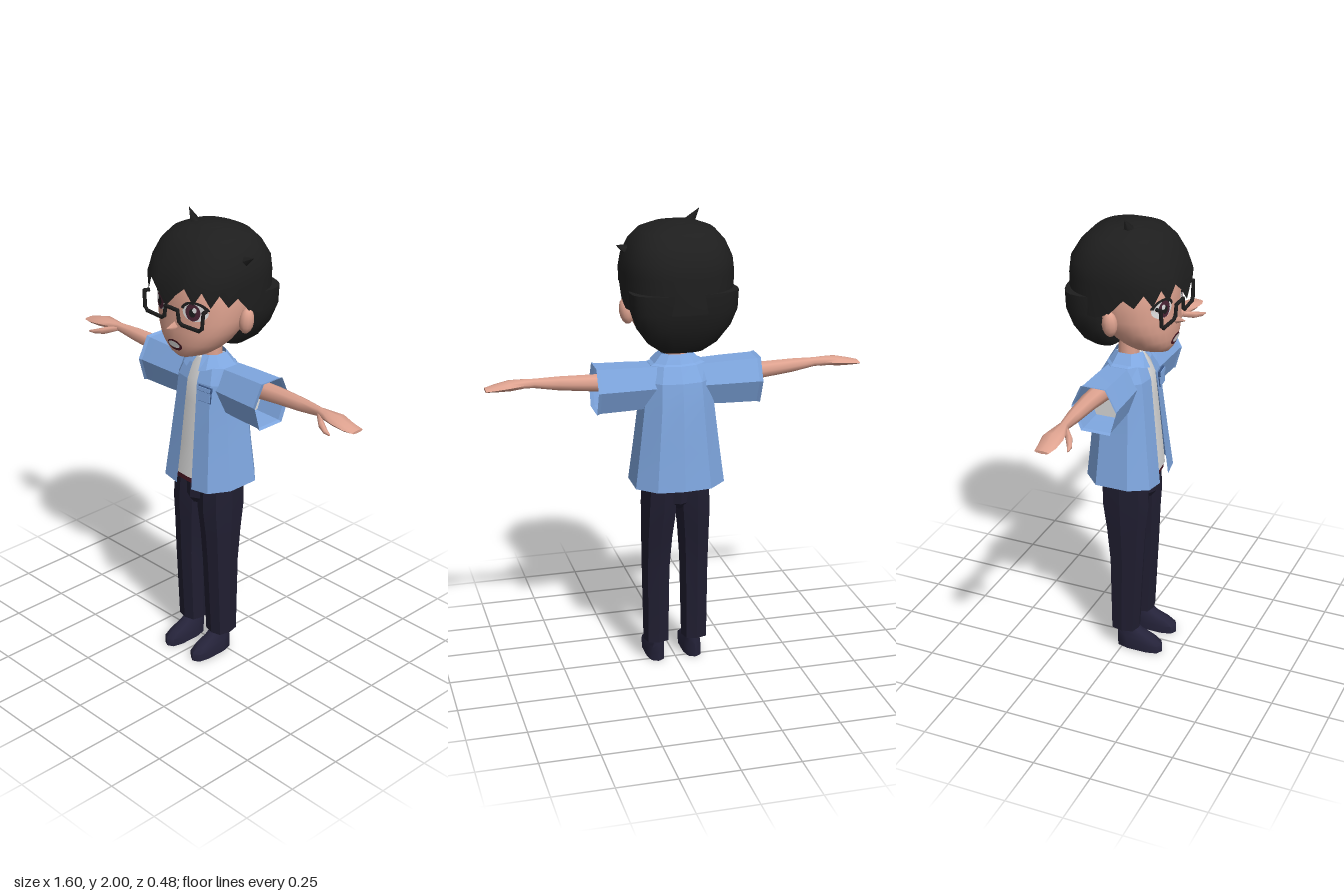
import * as THREE from 'three';
import { toCreasedNormals } from 'three/addons/utils/BufferGeometryUtils.js';

const mat = (name, color, side = THREE.FrontSide) => {
  const m = new THREE.MeshStandardMaterial({ color, side });
  m.name = name;
  return m;
};
const V = (x, y, z) => new THREE.Vector3(x, y, z);

// Rounded-square ring in the xz plane, starting at the front and turning to +x
const spow = (v, e) => Math.sign(v) * Math.pow(Math.abs(v), e);
function ring(y, x0, x1, z0, z1, n, p) {
  return Array.from({ length: n }, (_, j) => {
    const a = (j / n) * Math.PI * 2;
    return [(x0 + x1) / 2 + (x1 - x0) / 2 * spow(Math.sin(a), 2 / p), y,
      (z0 + z1) / 2 + (z1 - z0) / 2 * spow(Math.cos(a), 2 / p)];
  });
}
// Elliptic ring in the yz plane, for limbs along x
const limbRing = ([x, y, z, ry, rz], n = 8) => Array.from({ length: n }, (_, j) => {
  const a = (j / n) * Math.PI * 2;
  return [x, y + ry * Math.cos(a), z + rz * Math.sin(a)];
});

// Skin over a list of rings
function loft(rings, { crease = 0.9, closed = true, caps = true } = {}) {
  const n = rings[0].length, pos = rings.flat(2), idx = [];
  const m = closed ? n : n - 1;
  for (let i = 0; i < rings.length - 1; i++) {
    for (let j = 0; j < m; j++) {
      const k = (j + 1) % n, a = i * n + j, b = i * n + k;
      idx.push(a, b, b + n, a, b + n, a + n);
    }
  }
  if (closed && caps) {
    [0, rings.length - 1].forEach((r) => {
      const c = pos.length / 3;
      for (let k = 0; k < 3; k++) pos.push(rings[r].reduce((s, q) => s + q[k], 0) / n);
      for (let j = 0; j < n; j++) {
        const a = r * n + j, b = r * n + (j + 1) % n;
        if (r === 0) idx.push(c, b, a); else idx.push(c, a, b);
      }
    });
  }
  const g = new THREE.BufferGeometry();
  g.setAttribute('position', new THREE.Float32BufferAttribute(pos, 3));
  g.setIndex(idx);
  return toCreasedNormals(g, crease);
}

// Head profile: height, half width, front z, back z
const HEAD = [[1.43, .045, .165, .03], [1.445, .085, .177, 0], [1.47, .12, .186, -.03], [1.5, .15, .192, -.06],
  [1.55, .18, .193, -.1], [1.6, .196, .19, -.13], [1.66, .2, .19, -.15], [1.74, .2, .185, -.16],
  [1.82, .17, .15, -.14], [1.88, .1, .08, -.08]];
const HEAD_P = 2.3;
function faceZ(x, y) {
  let i = 0;
  while (i < HEAD.length - 2 && HEAD[i + 1][0] < y) i++;
  const A = HEAD[i], B = HEAD[i + 1], t = (y - A[0]) / (B[0] - A[0]);
  const [w, f, b] = [1, 2, 3].map((k) => A[k] + (B[k] - A[k]) * t);
  const u = Math.max(0, 1 - Math.pow(Math.abs(x) / w, HEAD_P));
  return (f + b) / 2 + (f - b) / 2 * Math.pow(u, 1 / HEAD_P);
}

export function createModel() {
  const D = THREE.DoubleSide;
  const skin = mat('skin', 0xdfa390), shirt = mat('blue shirt', 0x7fa7e0, D), trim = mat('dark blue trim', 0x3c5888);
  const white = mat('white', 0xdcdcdc, D), trousers = mat('navy trousers', 0x201e31), shoe = mat('shoe', 0x25233a);
  const belt = mat('dark red', 0x4c1a26), black = mat('black hair', 0x1e1e1e, D), iris = mat('iris', 0x4a2434);
  const root = new THREE.Group();
  const add = (name, geo, material, parent = root) => {
    const m = new THREE.Mesh(geo, material);
    m.name = name;
    parent.add(m);
    return m;
  };
  // Parts that exist on both sides
  const sides = [1, -1].map((s) => {
    const g = new THREE.Group();
    g.name = s > 0 ? 'leftSide' : 'rightSide';
    g.scale.x = s;
    root.add(g);
    return g;
  });
  const both = (name, geo, material) => sides.forEach((g) => add(name, geo, material, g));

  // Shoes and trousers
  both('shoe', loft([[0, .043, .124, -.033, .18], [.035, .042, .125, -.033, .18], [.06, .045, .12, -.033, .145],
    [.085, .05, .113, -.033, .085], [.115, .054, .11, -.03, .05]].map((r) => ring(...r, 10, 2.8))), shoe);
  both('trouserLeg', loft([[.1, .03, .142, -.052, .07], [.45, .025, .145, -.06, .088], [.6, .015, .146, -.078, .096],
    [.72, .002, .146, -.1, .107], [.85, 0, .14, -.105, .1]].map((r) => ring(...r, 8, 3)), { crease: .3 }), trousers);
  add('hips', loft([[.73, -.035, .035, -.07, .09], [.76, -.055, .055, -.1, .112], [.85, -.06, .06, -.105, .112]]
    .map((r) => ring(...r, 8, 3)), { crease: .3 }), trousers);
  add('belt', loft([.835, .87].map((y) => ring(y, -.148, .148, -.112, .118, 16, 3))), belt);

  // Undershirt and neck
  add('undershirt', loft([[.862, .15, .125, -.125], [1, .14, .112, -.12], [1.2, .12, .094, -.115],
    [1.3, .11, .083, -.1], [1.385, .055, .045, -.06]].map(([y, w, f, b]) => ring(y, -w, w, b, f, 16, 3))), white);
  const neck = add('neck', new THREE.CylinderGeometry(.042, .046, .16, 10), skin);
  neck.position.set(0, 1.41, -.015);

  // Open-fronted shirt body: y, half opening, half width, front z, back z
  const openRing = ([y, o, w, f, b, drop = 0]) => {
    const half = [[o, f, drop], [.68 * w, f - .012, drop * .6], [w, f * .4, 0], [w, b * .5, 0], [.6 * w, b + .012, 0]];
    return [...half.map(([x, z, d]) => [x, y - d, z]), [0, y, b],
      ...half.reverse().map(([x, z, d]) => [-x, y - d, z])];
  };
  add('shirtBody', loft([[.842, .045, .192, .147, -.17, .015], [1, .038, .172, .128, -.157], [1.2, .032, .148, .107, -.145],
    [1.3, .028, .14, .096, -.13], [1.365, .025, .115, .07, -.095], [1.39, .02, .055, .05, -.06]].map(openRing),
  { crease: .12, closed: false }), shirt);
  add('collar', loft([[1.372, .035, .1, .095, -.09, .02], [1.41, .018, .066, .055, -.068]].map(openRing),
    { crease: .2, closed: false }), shirt);

  // Sleeves: six-sided tubes with a slight flare at the cuff
  const hex = [[.095, -.055], [.095, .045], [.005, .092], [-.093, .065], [-.093, -.055], [.005, -.095]];
  const sleeveRing = ([x, k]) => hex.map(([y, z]) => [x, 1.275 + y * k, -.015 + z * k]);
  both('sleeve', loft([[.09, .92], [.2, .97], [.335, 1], [.35, 1.05]].map(sleeveRing), { crease: .12, caps: false }), shirt);
  both('undershirtSleeve', loft([[.1, .85], [.22, .9]].map(sleeveRing), { crease: .2 }), white);

  // Chest pocket with a flap
  const pocket = new THREE.Group();
  pocket.name = 'pocket';
  pocket.position.set(.078, 1.26, .096);
  pocket.rotation.set(-.11, .12, 0);
  root.add(pocket);
  [['pocketEdge', .066, .064, 0, .004, trim], ['pocketPanel', .06, .058, 0, .008, shirt],
    ['flapEdge', .07, .022, .025, .01, trim], ['flapPanel', .064, .016, .025, .014, shirt]]
    .forEach(([n, w, h, y, d, m]) => add(n, new THREE.BoxGeometry(w, h, d), m, pocket).position.set(0, y, d / 2));

  // Arms, hands and thumbs
  both('arm', loft([[.15, 1.3, -.03, .045, .045], [.35, 1.308, -.04, .037, .036], [.5, 1.316, -.034, .03, .027],
    [.6, 1.322, -.028, .02, .018], [.64, 1.323, -.025, .019, .03], [.7, 1.32, -.026, .02, .044],
    [.76, 1.312, -.022, .013, .038], [.8, 1.308, -.025, .006, .03]].map((r) => limbRing(r)), { crease: 1.2 }), skin);
  both('thumb', loft([[.6, 1.318, -.02, .012, .012], [.65, 1.302, .018, .016, .016], [.69, 1.292, .038, .011, .012],
    [.72, 1.288, .046, .004, .004]].map((r) => limbRing(r, 6)), { crease: 1.2 }), skin);

  // Head, nose and ears
  add('head', loft(HEAD.map(([y, w, f, b]) => ring(y, -w, w, b, f, 28, HEAD_P)), { crease: 1.2 }), skin);
  const nose = add('nose', new THREE.ConeGeometry(.03, .07, 4), skin);
  nose.rotation.x = Math.PI / 2;
  nose.position.set(0, 1.568, .2);
  const earGeo = new THREE.SphereGeometry(1, 12, 8).scale(.03, .056, .032).rotateZ(-.15).translate(.208, 1.595, -.008);
  both('ear', earGeo, skin);

  // Painted face details wrapped on the face
  const wrap = (geo, x, y, sx, sy, lift) => {
    geo.scale(sx, sy, 1).translate(x, y, 0);
    const p = geo.attributes.position;
    for (let i = 0; i < p.count; i++) p.setZ(i, faceZ(p.getX(i), p.getY(i)) + lift);
    geo.computeVertexNormals();
    return geo;
  };
  const disc = (...a) => wrap(new THREE.CircleGeometry(1, 20), ...a);
  both('eyeWhite', disc(.1, 1.648, .052, .038, .003), white);
  both('iris', disc(.095, 1.648, .031, .036, .005), iris);
  both('pupil', disc(.095, 1.646, .014, .018, .007), black);
  both('eyeGlint', disc(.106, 1.66, .009, .011, .009), white);
  both('upperLash', wrap(new THREE.RingGeometry(.85, 1.1, 16, 1, .25, Math.PI - .5), .1, 1.648, .054, .042, .006), black);
  add('mouth', disc(0, 1.486, .042, .023, .003), belt);
  add('teeth', disc(0, 1.489, .033, .014, .006), white);

  // Half-rim glasses
  const rim = [V(.168, 1.672, .178), V(.174, 1.672, .196), V(.168, 1.605, .198), V(.152, 1.592, .2), V(.06, 1.592, .205),
    V(.043, 1.603, .206), V(.035, 1.648, .206), V(0, 1.65, .208)];
  const bar = (a, b, r) => {
    const d = b.clone().sub(a), g = new THREE.CylinderGeometry(r, r, d.length() + r, 6);
    g.applyQuaternion(new THREE.Quaternion().setFromUnitVectors(V(0, 1, 0), d.clone().normalize()));
    return g.translate(...a.clone().add(b).multiplyScalar(.5).toArray());
  };
  for (let i = 0; i < rim.length - 1; i++) both('glassesRim', bar(rim[i], rim[i + 1], .008), black);

  // Hair cap with a jagged fringe
  const cap = [[1.7, .226, .237, -.243], [1.76, .23, .232, -.243], [1.82, .222, .21, -.236], [1.88, .195, .175, -.2],
    [1.925, .155, .13, -.155], [1.95, .09, .07, -.09], [1.957, .03, .02, -.03]]
    .map(([y, w, f, b]) => ring(y, -w, w, b, f, 36, 2.5));
  const fringe = [1.665, 1.725, 1.76, 1.695, 1.75, 1.685, 1.735, 1.68, 1.71, 1.645];
  cap[0].forEach((q, j) => { q[1] = fringe[Math.min(j, 36 - j)] ?? 1.62; });
  cap[1].forEach((q, j) => { q[1] = Math.max(q[1], cap[0][j][1] + .015); });
  add('hairCap', loft(cap, { crease: 1.2, caps: false }), black);
  add('hairCrown', disc(0, 0, .03, .025, 0).rotateX(0), black).visible = false;
  root.remove(root.getObjectByName('hairCrown'));
  add('hairTop', new THREE.SphereGeometry(1, 16, 8).scale(.1, .03, .09).translate(0, 1.931, -.005), black);

  // Hair at the back of the head
  add('backHair', loft([[1.44, .09, -.045, -.15], [1.48, .145, -.035, -.185], [1.55, .195, -.03, -.217],
    [1.62, .22, -.03, -.238], [1.7, .224, -.03, -.241]].map(([y, w, f, b]) => ring(y, -w, w, b, f, 24, 2.8)),
  { crease: 1 }), black);

  // Loose tufts
  const tuft = (name, base, tip, r) => {
    const d = tip.clone().sub(base), g = new THREE.ConeGeometry(r, d.length(), 5);
    g.applyQuaternion(new THREE.Quaternion().setFromUnitVectors(V(0, 1, 0), d.clone().normalize()));
    add(name, g.translate(...base.clone().add(tip).multiplyScalar(.5).toArray()), black);
  };
  tuft('crownTuft', V(-.055, 1.93, .015), V(-.105, 2, .012), .03);
  tuft('sideTuft', V(.17, 1.83, 0), V(.248, 1.868, -.005), .04);
  return root;
}
